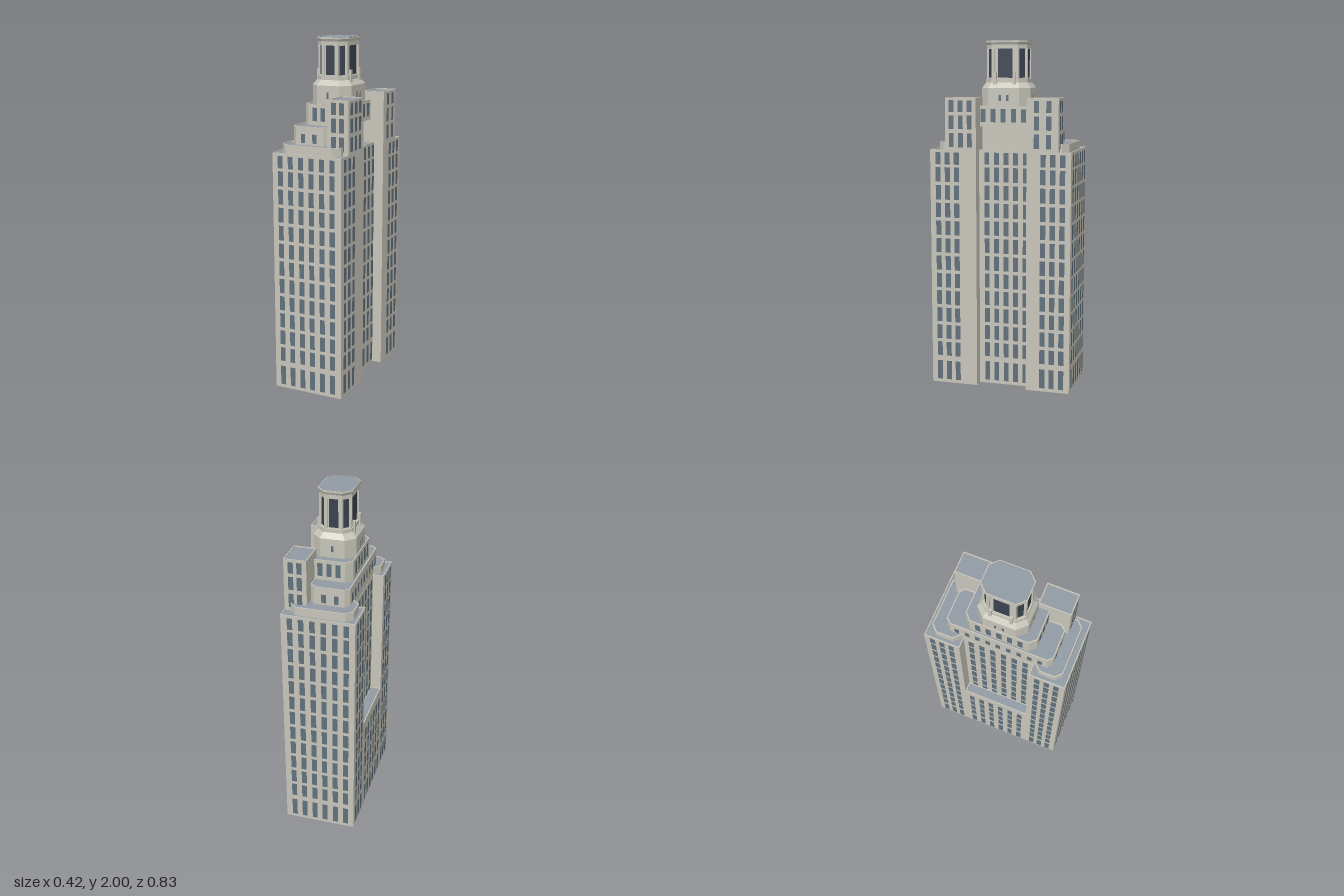
import * as THREE from 'three';
import { mergeGeometries } from 'three/addons/utils/BufferGeometryUtils.js';

const RIM = 0.008;

export function createModel() {
  const model = new THREE.Group();
  model.name = 'tower';
  const material = (name, color, side = THREE.FrontSide) =>
    Object.assign(new THREE.MeshStandardMaterial({ color, side }), { name });
  const stone = material('paleStone', 0xc6c4b9, THREE.DoubleSide);
  const slate = material('blueGreyRoof', 0x909aa3);
  const glass = material('windowGlass', 0x60707c);
  const dark = material('lanternGlass', 0x39424f);

  const add = (name, geometry, mat, parent = model) => {
    const mesh = new THREE.Mesh(geometry, mat);
    mesh.name = name;
    parent.add(mesh);
    return mesh;
  };

  // Plan outline as [x, z] points, with optional cut corners
  const plan = (x0, x1, z0, z1, c = 0) => c === 0
    ? [[x0, z1], [x1, z1], [x1, z0], [x0, z0]]
    : [[x0 + c, z1], [x1 - c, z1], [x1, z1 - c], [x1, z0 + c],
      [x1 - c, z0], [x0 + c, z0], [x0, z0 + c], [x0, z1 - c]];

  const toShape = (pts) => new THREE.Shape(pts.map(([x, z]) => new THREE.Vector2(x, -z)));

  const extrude = (shape, y0, y1) =>
    new THREE.ExtrudeGeometry(shape, { depth: y1 - y0, bevelEnabled: false })
      .rotateX(-Math.PI / 2).translate(0, y0, 0);

  // Open skin between two outlines with the same number of corners
  const skin = (low, y0, high, y1) => {
    const pos = [];
    low.forEach(([ax, az], i) => {
      const j = (i + 1) % low.length;
      const [bx, bz] = low[j], [cx, cz] = high[j], [dx, dz] = high[i];
      pos.push(ax, y0, az, bx, y0, bz, cx, y1, cz, ax, y0, az, cx, y1, cz, dx, y1, dz);
    });
    const g = new THREE.BufferGeometry();
    g.setAttribute('position', new THREE.Float32BufferAttribute(pos, 3));
    g.computeVertexNormals();
    return g;
  };

  // Building block: walls, parapet rim and sunken roof
  const block = (name, [x0, x1, z0, z1, c = 0], y0, y1, open = false) => {
    const group = new THREE.Group();
    group.name = name;
    model.add(group);
    const outer = plan(x0, x1, z0, z1, c), t = 0.006;
    const inner = plan(x0 + t, x1 - t, z0 + t, z1 - t, c && c - t * 0.4);
    const top = y1 - RIM;
    add('walls', open ? skin(outer, y0, outer, top) : extrude(toShape(outer), y0, top), stone, group);
    const ring = toShape(outer);
    ring.holes.push(toShape(inner));
    add('parapet', extrude(ring, top, y1), stone, group);
    add('roof', new THREE.ShapeGeometry(toShape(inner)).rotateX(-Math.PI / 2)
      .translate(0, top + 0.0015, 0), slate, group);
  };

  // Rows of thin panes on one side; "across" holds world x or z, "at" the wall plane
  const turn = { front: 0, right: Math.PI / 2, back: Math.PI, left: -Math.PI / 2 };
  const panes = (name, side, at, across, rows, width = 0.031, mat = glass) => {
    const flip = side === 'right' || side === 'back' ? -1 : 1;
    const list = [];
    for (const u of across) for (const [y0, y1] of rows) {
      list.push(new THREE.PlaneGeometry(width, y1 - y0)
        .translate(u * flip, (y0 + y1) / 2, Math.abs(at) + 0.002).rotateY(turn[side]));
    }
    add(name, mergeGeometries(list), mat);
  };

  // Storeys: tall ground floor, eleven equal floors, short top floor
  const floors = [[0.02, 0.133]];
  for (let i = 0; i < 11; i++) floors.push([0.165 + i * 0.1035, 0.249 + i * 0.1035]);
  floors.push([1.30, 1.369]);
  const pierRows = [[1.40, 1.48], [1.503, 1.58], [1.6, 1.665]];
  const six = [-0.161, -0.098, -0.034, 0.029, 0.093, 0.156];
  const bays = [0.254, 0.309, 0.365];

  // Main wings, low terrace and central core
  block('frontWing', [-0.21, 0.208, 0.203, 0.413], 0, 1.385);
  block('backWing', [-0.21, 0.208, -0.413, -0.203], 0, 1.385);
  block('terraceWing', [-0.21, -0.147, -0.203, 0.203], 0, 0.615, true);
  block('core', [-0.147, 0.15, -0.203, 0.203], 0, 1.385, true);
  // Corner piers
  block('frontPier', [0.08, 0.208, 0.137, 0.32], 0, 1.68);
  block('backPier', [0.08, 0.208, -0.34, -0.158], 0, 1.68);

  // Stepped upper tiers
  block('frontStep', [-0.183, 0.175, 0.215, 0.378, 0.036], 1.37, 1.427);
  block('backStep', [-0.185, 0.168, -0.387, -0.215, 0.036], 1.37, 1.427);
  block('lowerTier', [-0.145, 0.076, -0.307, 0.307, 0.026], 1.37, 1.523);
  block('middleTier', [-0.13, 0.125, -0.203, 0.203, 0.036], 1.515, 1.633);

  // Windows
  panes('frontWindows', 'front', 0.413, six, floors);
  panes('backWindows', 'back', 0.413, six, floors);
  for (const s of [1, -1]) {
    const z = bays.map((b) => b * s);
    panes('rightWingWindows', 'right', 0.208, z, floors);
    panes('leftWingWindows', 'left', 0.21, z, floors);
  }
  panes('rightCoreWindows', 'right', 0.15, [0.09, 0.033, -0.024, -0.081, -0.138], floors, 0.029);
  const centre = [-0.16, -0.096, -0.032, 0.032, 0.096, 0.16];
  panes('terraceWindows', 'left', 0.21, centre, floors.slice(0, 5));
  panes('leftCoreWindows', 'left', 0.147, centre, floors.slice(5));
  panes('frontPierWindows', 'front', 0.32, [0.12, 0.168], pierRows, 0.029);
  panes('backPierWindows', 'back', 0.34, [0.12, 0.168], pierRows, 0.029);
  panes('frontPierSideWindows', 'right', 0.208, [0.175, 0.228, 0.283], pierRows, 0.029);
  panes('backPierSideWindows', 'right', 0.208, [-0.215, -0.285], pierRows, 0.029);
  for (const side of ['front', 'back']) {
    panes('middleTierWindows', side, 0.203, [-0.055, -0.004, 0.048], [[1.54, 1.615]], 0.029);
    panes('lowerTierWindows', side, 0.307, [-0.075, -0.004], [[1.432, 1.482]], 0.026);
    panes('drumSlits', side, 0.143, [-0.004], [[1.66, 1.695]], 0.013);
  }
  const tierZ = [-0.12, -0.06, 0, 0.06, 0.12];
  panes('middleTierLeftWindows', 'left', 0.13, tierZ, [[1.54, 1.615]], 0.029);
  panes('middleTierRightWindows', 'right', 0.125, tierZ, [[1.54, 1.615]], 0.029);
  panes('lowerTierLeftWindows', 'left', 0.145, [-0.24, -0.18, ...tierZ, 0.18, 0.24], [[1.432, 1.482]], 0.026);
  panes('drumLeftSlits', 'left', 0.125, [-0.022, 0.022], [[1.66, 1.695]], 0.013);
  panes('drumRightSlits', 'right', 0.118, [-0.022, 0.022], [[1.66, 1.695]], 0.013);

  // Octagonal drum with sloping shoulder
  const cx = -0.003;
  const octagon = (hx, hz, c) => plan(cx - hx, cx + hx, -hz, hz, c);
  const drum = octagon(0.1215, 0.143, 0.052);
  add('drum', extrude(toShape(drum), 1.62, 1.733), stone);
  add('shoulder', skin(drum, 1.733, octagon(0.096, 0.123, 0.042), 1.763), stone);

  // Lantern: base, body, corner columns, frieze and cap
  add('lanternBase', extrude(toShape(octagon(0.096, 0.123, 0.042)), 1.755, 1.785), stone);
  const body = octagon(0.083, 0.112, 0.04);
  add('lanternBody', extrude(toShape(body), 1.78, 1.96), stone);
  for (const [x, z] of body) {
    add('lanternColumn', new THREE.BoxGeometry(0.016, 0.18, 0.016).translate(x, 1.87, z), stone);
  }
  const frieze = octagon(0.09, 0.118, 0.042), eave = octagon(0.097, 0.125, 0.044);
  add('frieze', extrude(toShape(frieze), 1.952, 1.975), stone);
  add('cornice', skin(frieze, 1.975, eave, 1.988), stone);
  add('capEdge', extrude(toShape(eave), 1.988, 1.998), stone);
  add('capRoof', extrude(toShape(octagon(0.092, 0.12, 0.042)), 1.996, 2), slate);

  // Lantern openings on the straight and diagonal sides
  const tall = [[1.79, 1.952]];
  panes('lanternFrontGlass', 'front', 0.112, [cx], tall, 0.052, dark);
  panes('lanternBackGlass', 'back', 0.112, [cx], tall, 0.052, dark);
  panes('lanternLeftGlass', 'left', 0.086, [0], tall, 0.086, dark);
  panes('lanternRightGlass', 'right', 0.08, [0], tall, 0.086, dark);
  for (const sx of [1, -1]) for (const sz of [1, -1]) {
    const pane = add('lanternCornerGlass', new THREE.PlaneGeometry(0.034, 0.162), dark);
    pane.position.set(cx + sx * 0.0645, 1.871, sz * 0.0935);
    pane.rotation.y = Math.atan2(sx, sz);
    // Small posts on the shoulder
    add('shoulderPost', new THREE.BoxGeometry(0.014, 0.085, 0.018)
      .translate(cx + sx * 0.099, 1.778, sz * 0.057), stone);
  }
  return model;
}
